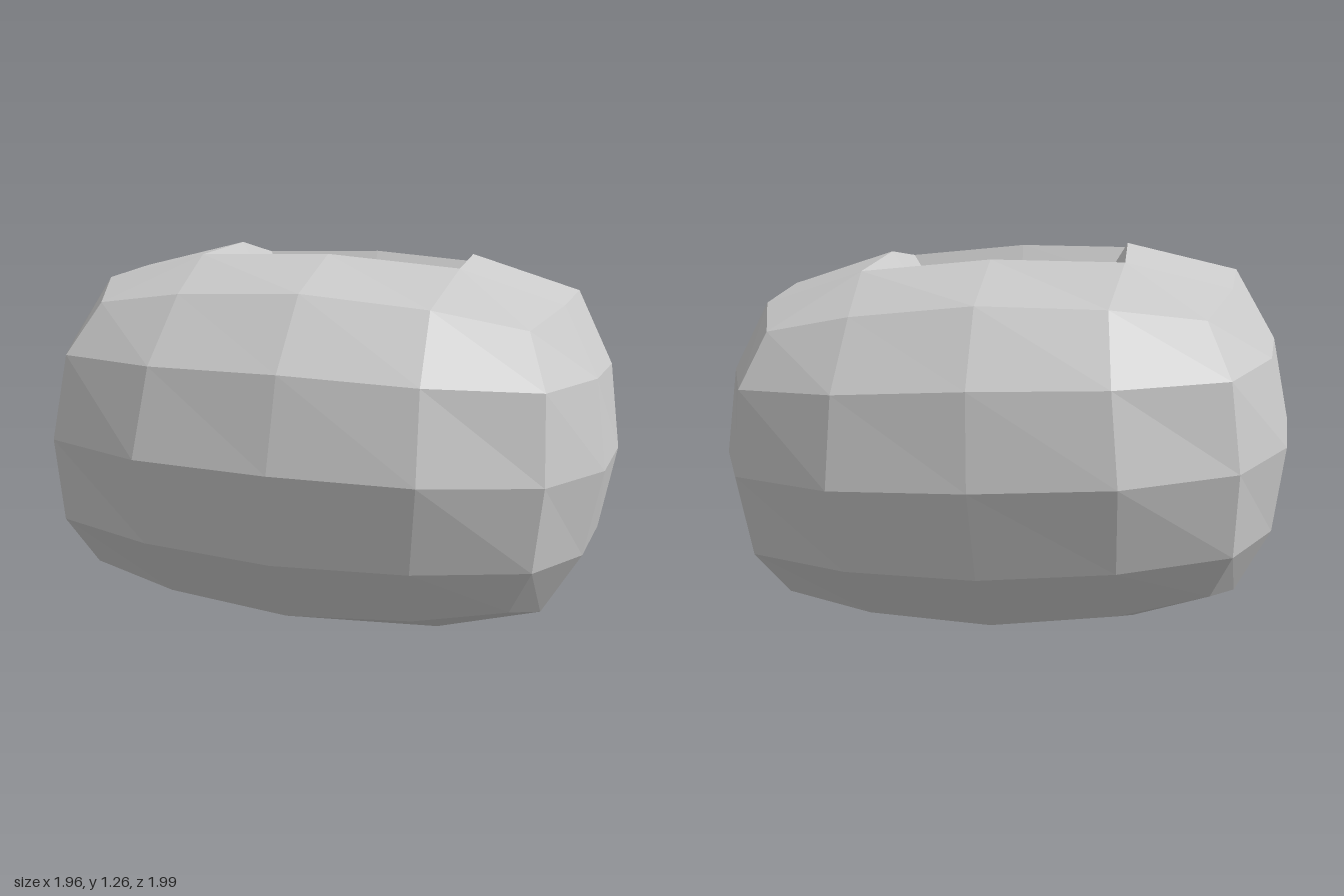
import * as THREE from 'three';

// Quarter rings of the shell, running from the +x side to the +z side.
// The rim repeats its corner so every ring has the same number of points.
const RIM = [[0.358, 0.6, 0], [0.358, 0.577, 0.42], [0.358, 0.577, 0.42], [0.358, 0.577, 0.42], [0, 0.615, 0.41]];
const SHOULDER = [[0.67, 0.49, 0], [0.645, 0.465, 0.385], [0.585, 0.42, 0.665], [0.355, 0.485, 0.745], [0, 0.515, 0.77]];
const UPPER = [[0.86, 0.275, 0], [0.825, 0.265, 0.4], [0.69, 0.26, 0.73], [0.39, 0.275, 0.86], [0, 0.28, 0.895]];
const MIDDLE = [[0.922, 0, 0], [0.89, 0, 0.415], [0.73, 0, 0.75], [0.41, 0, 0.905], [0, 0, 0.94]];

// Mirror a quarter into a closed ring of 16 points
function ring(quarter, flip, scale) {
  return Array.from({ length: 16 }, (_, n) => {
    const q = Math.floor(n / 4), r = n % 4;
    const [x, y, z] = quarter[q % 2 ? 4 - r : r];
    const sx = q === 1 || q === 2 ? -1 : 1, sz = q >= 2 ? -1 : 1;
    return new THREE.Vector3(x * sx, y * flip, z * sz).multiplyScalar(scale);
  });
}

// Skin a closed sequence of rings with flat quads, skipping collapsed triangles
function loft(rings) {
  const points = [];
  const tri = (...t) => {
    if (new THREE.Triangle(...t).getArea() > 1e-7) points.push(...t);
  };
  rings.forEach((top, i) => {
    const low = rings[(i + 1) % rings.length];
    for (let n = 0; n < 16; n++) {
      const m = (n + 1) % 16;
      tri(top[n], top[m], low[n]);
      tri(top[m], low[m], low[n]);
    }
  });
  const geometry = new THREE.BufferGeometry().setFromPoints(points);
  geometry.computeVertexNormals();
  return geometry;
}

export function createModel() {
  const group = new THREE.Group();
  group.name = 'hollowBead';

  // Outer skin from the top opening to the bottom one, then the inner skin back up
  const shellRings = (s) => [
    ring(RIM, 1, s), ring(SHOULDER, 1, s), ring(UPPER, 1, s), ring(MIDDLE, 1, s),
    ring(UPPER, -1, s), ring(SHOULDER, -1, s), ring(RIM, -1, s),
  ];
  const rings = [...shellRings(1), ...shellRings(0.83).reverse()];

  const shell = new THREE.Mesh(
    loft(rings),
    new THREE.MeshStandardMaterial({ color: 0xcccccc, flatShading: true }),
  );
  shell.name = 'shell';

  // Turned on its axis and tipped slightly
  shell.rotation.set(0.04, 0.433, -0.03, 'YXZ');
  shell.position.y = 0.6325;
  group.add(shell);
  return group;
}
